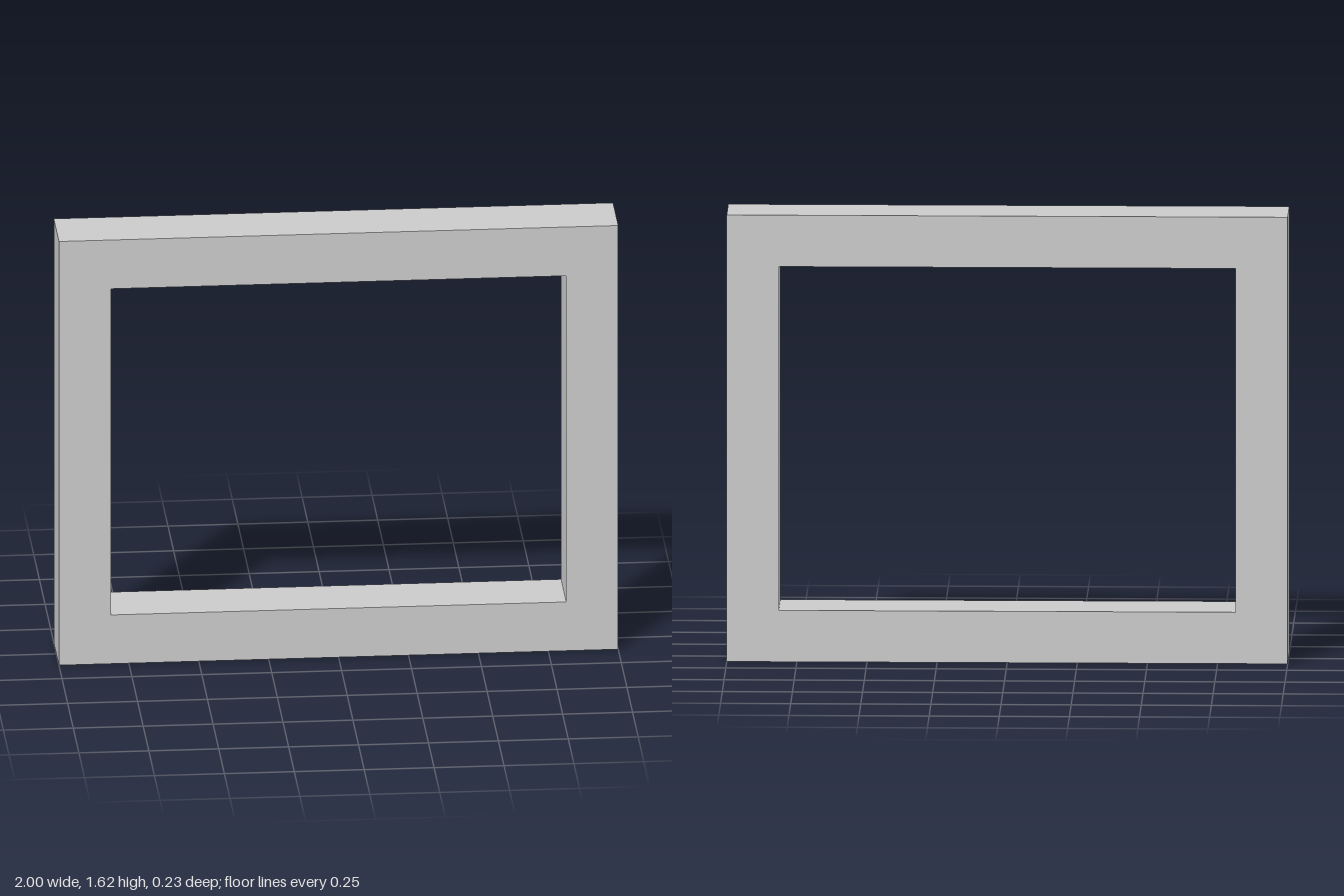
import * as THREE from 'three';

const WIDTH = 2, HEIGHT = 1.615, DEPTH = 0.23, BORDER = 0.186;

// Traces a rectangle onto a Shape or Path
function traceRect(path, x0, y0, x1, y1) {
  path.moveTo(x0, y0);
  path.lineTo(x1, y0);
  path.lineTo(x1, y1);
  path.lineTo(x0, y1);
  path.closePath();
  return path;
}

export function createModel() {
  const group = new THREE.Group();
  group.name = 'rectangularFrame';

  // Outer outline with the window opening cut out
  const half = WIDTH / 2;
  const outline = traceRect(new THREE.Shape(), -half, 0, half, HEIGHT);
  outline.holes.push(
    traceRect(new THREE.Path(), -half + BORDER, BORDER, half - BORDER, HEIGHT - BORDER)
  );

  // Straight-edged frame, centred in depth
  const geometry = new THREE.ExtrudeGeometry(outline, { depth: DEPTH, bevelEnabled: false });
  geometry.translate(0, 0, -DEPTH / 2);

  const frame = new THREE.Mesh(
    geometry,
    new THREE.MeshStandardMaterial({ color: 0xcccccc, flatShading: true })
  );
  frame.name = 'frame';
  group.add(frame);
  return group;
}
